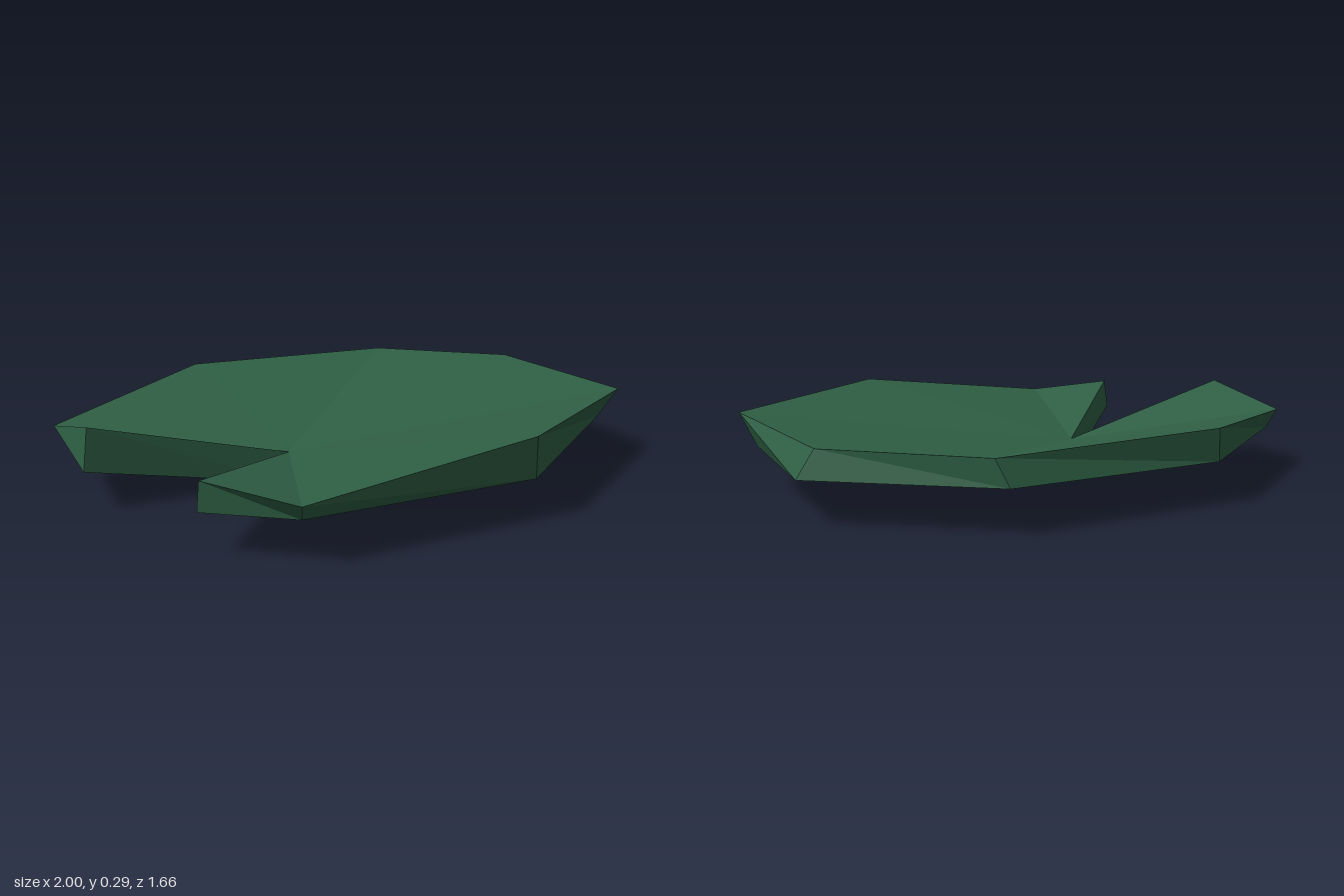
import * as THREE from 'three';

// Outline from one side of the notch round to the other: [top x, y, z, bottom x, z]
const RIM = [
  [-1.0, 0.25, 0.275, -0.99, 0.25],
  [-0.87, 0.205, 0.56, -0.83, 0.52],
  [-0.11, 0.295, 0.83, -0.08, 0.81],
  [0.70, 0.26, 0.64, 0.68, 0.57],
  [0.96, 0.24, -0.05, 1.0, -0.01],
  [0.72, 0.235, -0.55, 0.69, -0.585],
  [-0.07, 0.257, -0.83, -0.08, -0.825],
  [-0.88, 0.215, -0.62, -0.85, -0.59],
  [-0.98, 0.295, -0.285, -0.99, -0.3],
];
const RIM_BASE = 0.145;
const TOP_CENTRE = [-0.32, 0.11, -0.05];
const BOTTOM_CENTRE = [-0.32, 0, -0.05];

// Unshared triangles keep every facet flat
function facets(name, triangles, material) {
  const geometry = new THREE.BufferGeometry();
  geometry.setAttribute('position', new THREE.Float32BufferAttribute(triangles.flat(2), 3));
  geometry.computeVertexNormals();
  const mesh = new THREE.Mesh(geometry, material);
  mesh.name = name;
  return mesh;
}

export function createModel() {
  const leafGreen = new THREE.MeshStandardMaterial({ color: 0x2f6045, flatShading: true });
  leafGreen.name = 'leaf green';

  const top = RIM.map(([x, y, z]) => [x, y, z]);
  const bottom = RIM.map((r) => [r[3], RIM_BASE, r[4]]);
  const upper = [], lower = [], edge = [], notch = [];

  // Dished upper fan, conical underside fan
  for (let i = 0; i < RIM.length - 1; i++) {
    upper.push([TOP_CENTRE, top[i], top[i + 1]]);
    lower.push([BOTTOM_CENTRE, bottom[i + 1], bottom[i]]);
  }

  // Outer edge, then the two notch walls that meet at the centre
  const topLoop = [...top, TOP_CENTRE], bottomLoop = [...bottom, BOTTOM_CENTRE];
  for (let i = 0; i < topLoop.length; i++) {
    const j = (i + 1) % topLoop.length;
    const wall = i < RIM.length - 1 ? edge : notch;
    wall.push([topLoop[i], bottomLoop[i], bottomLoop[j]], [topLoop[i], bottomLoop[j], topLoop[j]]);
  }

  const pad = new THREE.Group();
  pad.name = 'lilyPad';
  pad.add(
    facets('upperSurface', upper, leafGreen),
    facets('underside', lower, leafGreen),
    facets('outerEdge', edge, leafGreen),
    facets('notchWalls', notch, leafGreen),
  );
  return pad;
}
